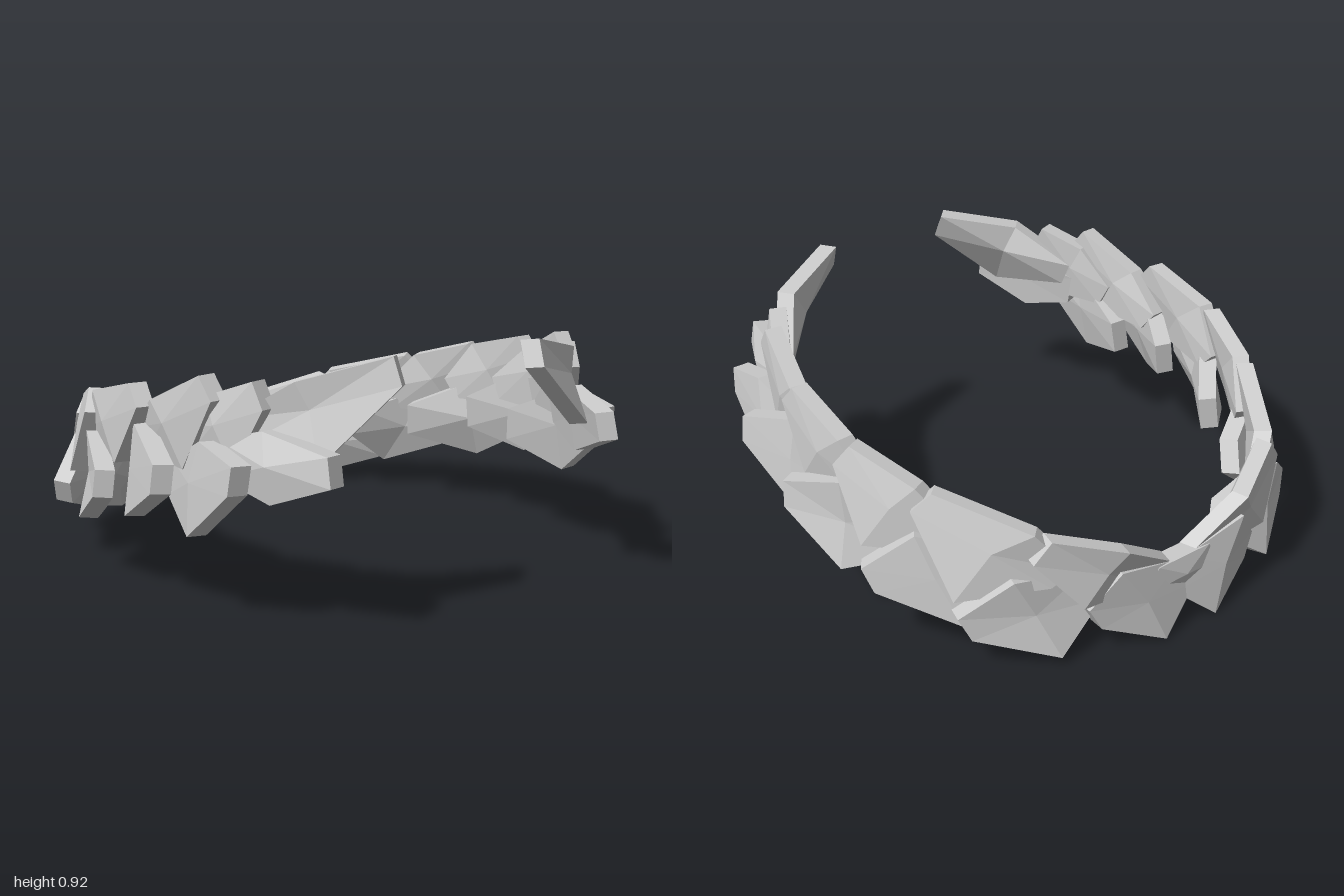
import * as THREE from 'three';

const V = (a) => new THREE.Vector3(...a);

// Each plate: [tip, top corner, bottom corner, rear point], running front to back
const upperRow = [
  [[0.30, 0.88, 0.92], [0.59, 0.85, 0.76], [0.57, 0.59, 0.87], [0.72, 0.66, 0.58]],
  [[0.68, 0.80, 0.68], [0.77, 0.78, 0.50], [0.74, 0.55, 0.62], [0.80, 0.60, 0.38]],
  [[0.79, 0.81, 0.53], [0.85, 0.73, 0.25], [0.82, 0.52, 0.42], [0.83, 0.56, 0.12]],
  [[0.89, 0.74, 0.20], [0.89, 0.70, -0.13], [0.91, 0.48, 0.08], [0.85, 0.50, -0.22]],
  [[0.90, 0.66, -0.16], [0.79, 0.62, -0.44], [0.92, 0.37, -0.29], [0.72, 0.42, -0.54]],
  [[0.79, 0.58, -0.47], [0.56, 0.52, -0.79], [0.78, 0.26, -0.63], [0.48, 0.34, -0.84]],
  [[0.55, 0.46, -0.82], [0.28, 0.42, -0.95], [0.43, 0.23, -0.90], [0.09, 0.24, -0.91]],
];
const lowerRow = [
  [[0.60, 0.60, 0.98], [0.68, 0.69, 0.71], [0.69, 0.46, 0.77], [0.76, 0.58, 0.55]],
  [[0.82, 0.55, 0.74], [0.82, 0.64, 0.54], [0.85, 0.31, 0.50], [0.78, 0.45, 0.25]],
  [[0.95, 0.51, 0.45], [0.88, 0.64, 0.18], [0.92, 0.31, 0.17], [0.78, 0.45, -0.03]],
  [[0.995, 0.42, 0.09], [0.91, 0.55, -0.15], [0.94, 0.22, -0.18], [0.71, 0.36, -0.37]],
  [[0.95, 0.28, -0.37], [0.82, 0.46, -0.47], [0.73, 0.13, -0.62], [0.58, 0.32, -0.62]],
  [[0.77, 0.17, -0.68], [0.63, 0.35, -0.77], [0.50, 0.04, -0.87], [0.32, 0.24, -0.82]],
  [[0.37, 0.15, -0.89], [0.29, 0.33, -0.93], [0.12, 0.01, -0.985], [-0.02, 0.21, -0.93]],
];

// Faceted slab: raised outer face, level inner face, and flat side walls
function slab(outline, thickness, dome) {
  const n = outline.length;
  const centre = outline.reduce((s, p) => s.add(p), new THREE.Vector3()).divideScalar(n);
  const normal = new THREE.Vector3();
  outline.forEach((p, i) => {
    const q = outline[(i + 1) % n];
    normal.add(p.clone().sub(centre).cross(q.clone().sub(centre)));
  });
  normal.normalize();
  // keep the corner order counter-clockwise as seen from outside the ring
  if (normal.x * centre.x + normal.z * centre.z < 0) {
    outline = outline.slice().reverse();
    normal.negate();
  }
  const depth = new THREE.Vector3(normal.x, normal.y * 0.4, normal.z).setLength(thickness);
  const inner = outline.map((p) => p.clone().sub(depth));
  const peak = centre.clone().addScaledVector(normal, dome);
  const innerCentre = centre.clone().sub(depth);
  const tris = [];
  for (let i = 0; i < n; i++) {
    const j = (i + 1) % n;
    tris.push(peak, outline[i], outline[j]);
    tris.push(innerCentre, inner[j], inner[i]);
    tris.push(outline[i], inner[i], inner[j], outline[i], inner[j], outline[j]);
  }
  const geometry = new THREE.BufferGeometry().setFromPoints(tris);
  geometry.computeVertexNormals();
  return geometry;
}

// Leaf-like outline whose tip and rear are cut off blunt
function leafOutline(corners, side, blunt, rearBlunt) {
  const [tip, top, bottom, rear] = corners.map((c) => V([c[0] * side, c[1], c[2]]));
  const across = top.clone().sub(bottom).normalize();
  return [
    tip.clone().addScaledVector(across, blunt), top,
    rear.clone().addScaledVector(across, rearBlunt), rear.clone().addScaledVector(across, -rearBlunt),
    bottom, tip.clone().addScaledVector(across, -blunt),
  ];
}

export function createModel() {
  const group = new THREE.Group();
  const material = new THREE.MeshStandardMaterial({ color: 0xcccccc, flatShading: true });
  const add = (name, geometry) => {
    const mesh = new THREE.Mesh(geometry, material);
    mesh.name = name;
    group.add(mesh);
  };

  // Two overlapping rows of plates, mirrored left and right
  for (const [name, side] of [['left', 1], ['right', -1]]) {
    upperRow.forEach((c, i) =>
      add(`${name}UpperPlate${i + 1}`, slab(leafOutline(c, side, 0.05, 0.05), 0.065, 0.03)));
    lowerRow.forEach((c, i) =>
      add(`${name}LowerPlate${i + 1}`, slab(leafOutline(c, side, 0.05, 0.065), 0.07, 0.03)));
  }

  // Middle plate closing the ring at the back
  const middle = [[-0.12, 0.28], [-0.17, 0.19], [0, 0.13], [0.17, 0.19], [0.12, 0.28]];
  add('backMiddlePlate', slab(middle.map(([x, y]) => V([x, y, -0.93])), 0.07, 0.02));
  return group;
}
